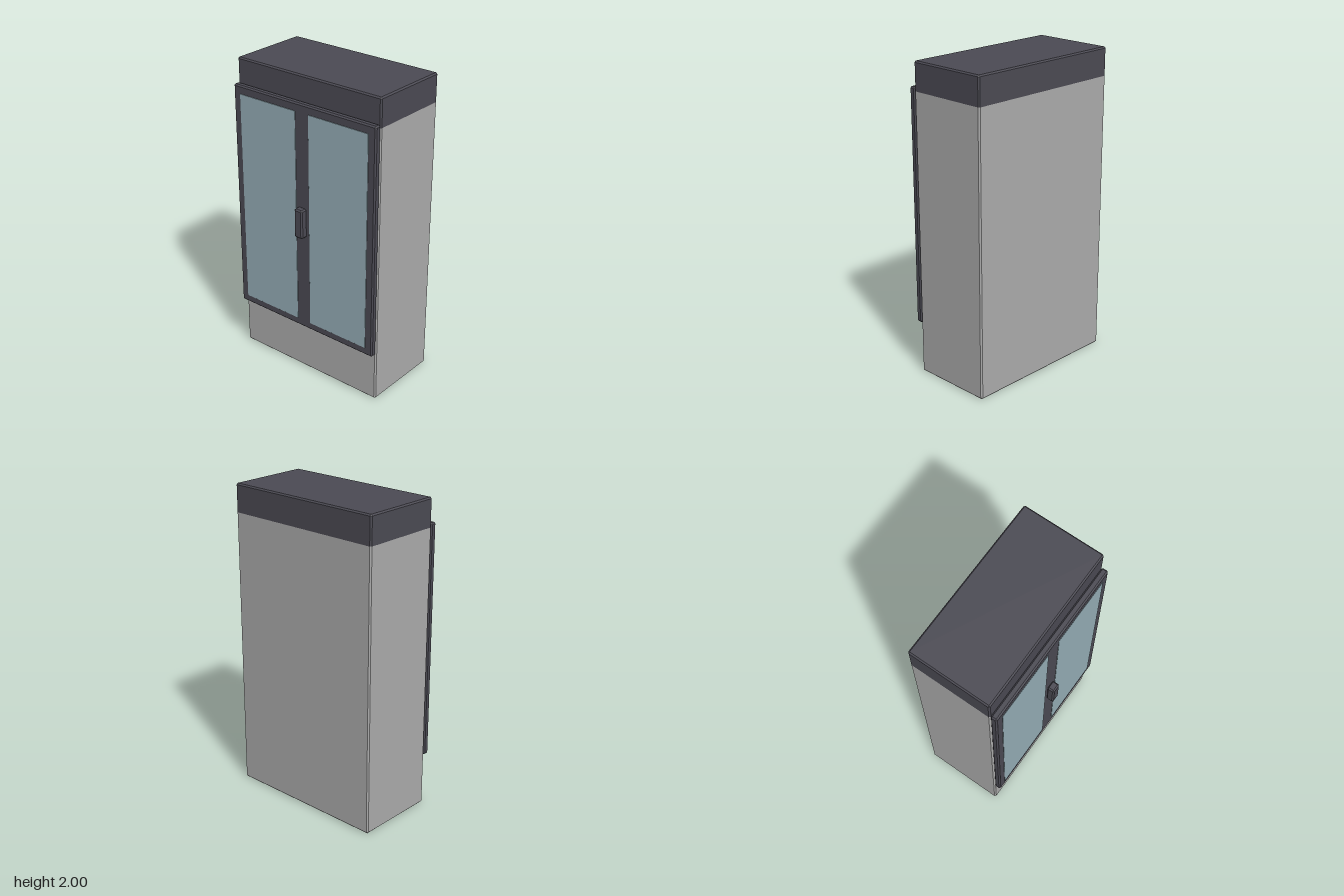
import * as THREE from 'three';
import { ConvexGeometry } from 'three/addons/geometries/ConvexGeometry.js';

const mat = (name, color) => {
  const m = new THREE.MeshStandardMaterial({ color });
  m.name = name;
  return m;
};

// Box between two corners with chamfered edges; the bottom or top edge can stay square.
function chamferBox([x0, y0, z0], [x1, y1, z1], c, bottom = true, top = true) {
  const points = [];
  const ring = (y, ix, iz) => {
    for (const [x, sx] of [[x0, 1], [x1, -1]])
      for (const [z, sz] of [[z0, 1], [z1, -1]])
        points.push(new THREE.Vector3(x + sx * ix, y, z + sz * iz));
  };
  if (bottom) ring(y0, c, c);
  for (const y of [bottom ? y0 + c : y0, top ? y1 - c : y1]) {
    ring(y, c, 0);
    ring(y, 0, c);
  }
  if (top) ring(y1, c, c);
  return new ConvexGeometry(points);
}

export function createModel() {
  const group = new THREE.Group();
  group.name = 'cabinet';
  const grey = mat('light grey', 0xababab);
  const dark = mat('dark grey', 0x4b4a53);
  const glass = mat('pale blue glass', 0x95adb6);

  const add = (name, geometry, material) => {
    const mesh = new THREE.Mesh(geometry, material);
    mesh.name = name;
    group.add(mesh);
    return mesh;
  };

  // Cabinet body and its dark top, meeting flush
  const w = 0.54, back = -0.313, front = 0.223, seam = 1.82;
  add('body', chamferBox([-w, 0, back], [w, seam, front], 0.009, true, false), grey);
  add('topBand', chamferBox([-w, seam, back], [w, 2, front], 0.009, false, true), dark);

  // Door slab standing proud of the body
  const doorFront = 0.266;
  add('doorFrame', chamferBox([-w, 0.333, front], [w, 1.843, doorFront], 0.009), dark);

  // Two glass panes as thin plates
  for (const [side, s] of [['right', -1], ['left', 1]]) {
    const xa = s * 0.05, xb = s * 0.488;
    add(side + 'Pane', chamferBox(
      [Math.min(xa, xb), 0.382, doorFront - 0.002],
      [Math.max(xa, xb), 1.79, doorFront + 0.002], 0.001), glass);
  }

  // Central handle
  add('handle', chamferBox([-0.031, 0.99, doorFront - 0.003], [0.031, 1.182, 0.313], 0.009), dark);

  return group;
}
